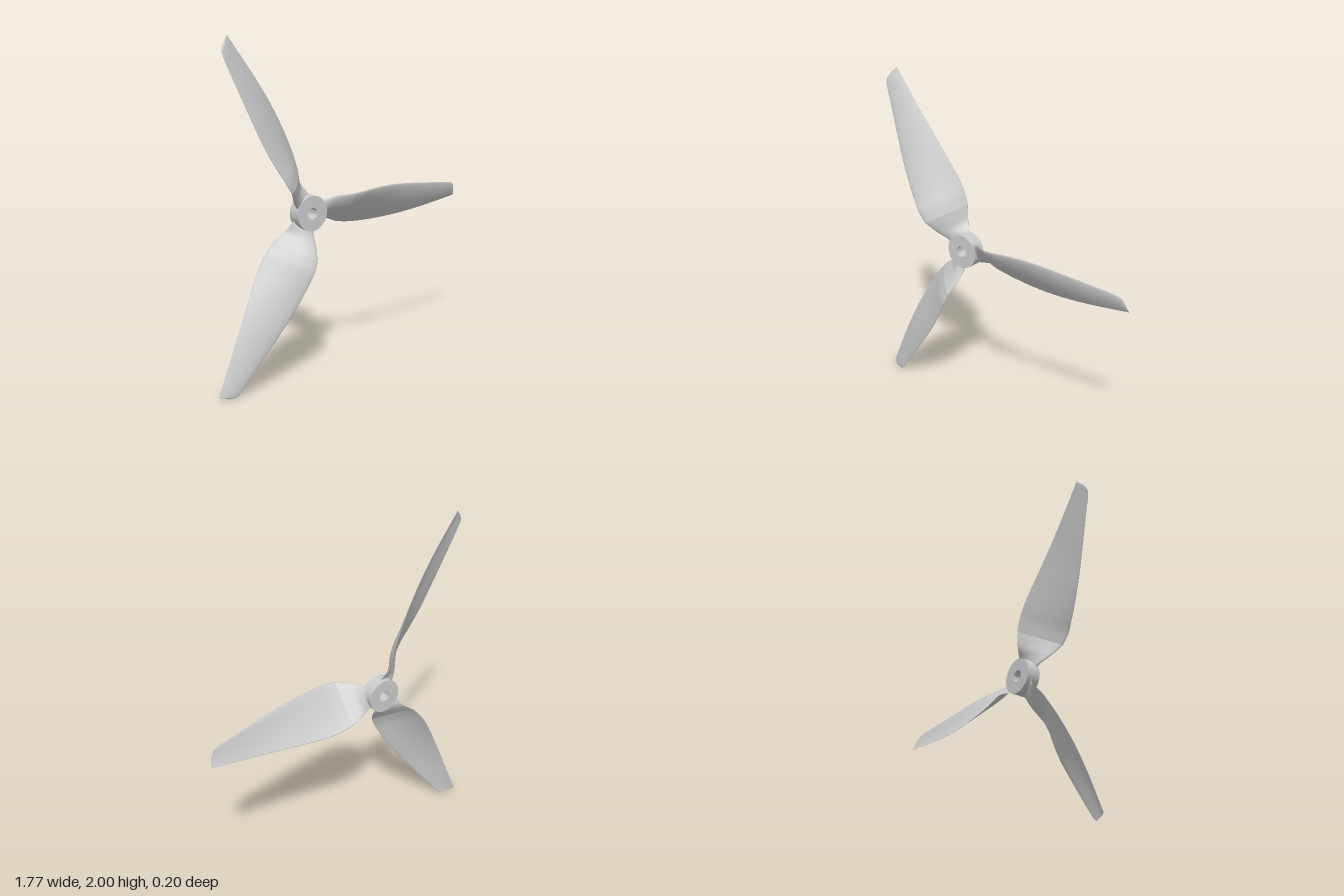
import * as THREE from 'three';
import { toCreasedNormals } from 'three/addons/utils/BufferGeometryUtils.js';

const material = new THREE.MeshStandardMaterial({ color: 0xcccccc, side: THREE.DoubleSide });

// Stations along a blade: leading edge x, y, z, trailing edge x, y, z, thickness.
// x runs outward from the hub axis.
const rootStations = [
  [0.07, 0.06, -0.015, 0.07, -0.06, -0.055, 0.026],
  [0.10, 0.068, -0.005, 0.10, -0.064, -0.06, 0.026],
  [0.15, 0.083, 0.03, 0.15, -0.066, -0.085, 0.026],
  [0.20, 0.09, 0.065, 0.20, -0.086, -0.094, 0.025],
  [0.24, 0.095, 0.09, 0.24, -0.104, -0.098, 0.024],
];
const bladeStations = [
  [0.24, 0.095, 0.09, 0.24, -0.104, -0.098, 0.024],
  [0.31, 0.101, 0.098, 0.31, -0.119, -0.098, 0.024],
  [0.38, 0.104, 0.09, 0.38, -0.126, -0.094, 0.024],
  [0.46, 0.105, 0.08, 0.46, -0.128, -0.084, 0.023],
  [0.56, 0.101, 0.067, 0.56, -0.125, -0.07, 0.021],
  [0.70, 0.086, 0.049, 0.70, -0.116, -0.055, 0.018],
  [0.86, 0.064, 0.026, 0.86, -0.1, -0.045, 0.014],
  [1.00, 0.044, 0.006, 1.02, -0.081, -0.042, 0.01],
  [1.08, 0.031, -0.004, 1.10, -0.071, -0.042, 0.008],
  [1.11, 0.018, -0.012, 1.13, -0.067, -0.042, 0.006],
  [1.131, -0.018, -0.025, 1.145, -0.065, -0.042, 0],
];

// Loft a cambered aerofoil through the stations
function loft(stations, rows) {
  const lead = new THREE.CatmullRomCurve3(stations.map(s => new THREE.Vector3(s[0], s[1], s[2])));
  const trail = new THREE.CatmullRomCurve3(stations.map(s => new THREE.Vector3(s[3], s[4], s[5])));
  const around = 32, positions = [], index = [];
  for (let i = 0; i <= rows; i++) {
    const t = i / rows;
    const a = lead.getPoint(t), b = trail.getPoint(t);
    const f = t * (stations.length - 1), k = Math.min(Math.floor(f), stations.length - 2);
    const thick = THREE.MathUtils.lerp(stations[k][6], stations[k + 1][6], f - k);
    const chord = b.clone().sub(a);
    const normal = new THREE.Vector3(0, chord.z, -chord.y).normalize(); // towards the front
    const camber = chord.length() * 0.05;
    for (let j = 0; j < around; j++) {
      const angle = (j / around) * Math.PI * 2;
      const s = (1 - Math.cos(angle)) / 2;
      // round nose, thin tail
      const half = thick * Math.sin(angle) * (1.15 - 0.9 * s) * 0.6;
      const bow = camber * 4 * s * (1 - s);
      const p = a.clone().addScaledVector(chord, s).addScaledVector(normal, half + bow - camber * 0.4);
      positions.push(p.x, p.y, p.z);
    }
  }
  for (let i = 0; i < rows; i++) {
    for (let j = 0; j < around; j++) {
      const n = (j + 1) % around;
      const p = i * around + j, q = i * around + n;
      index.push(p, q, p + around, q, q + around, p + around);
    }
  }
  const g = new THREE.BufferGeometry();
  g.setAttribute('position', new THREE.Float32BufferAttribute(positions, 3));
  g.setIndex(index);
  // the first triangle of the front side must face the front
  const v = k => new THREE.Vector3().fromArray(positions, k * 3);
  const m = around / 4, o = v(m);
  const face = v(m + 1).sub(o).cross(v(m + around).sub(o));
  if (face.z < 0) g.setIndex(index.slice().reverse());
  g.computeVertexNormals();
  return g;
}

function createHub() {
  const disc = new THREE.Shape().absarc(0, 0, 0.102, 0, Math.PI * 2);
  disc.holes.push(new THREE.Path().absarc(0, 0, 0.033, 0, Math.PI * 2, true));
  const g = new THREE.ExtrudeGeometry(disc, { depth: 0.08, bevelEnabled: false, curveSegments: 48 });
  g.translate(0, 0, -0.08);
  const hub = new THREE.Mesh(toCreasedNormals(g, 0.6), material);
  hub.name = 'hub';
  return hub;
}

export function createModel() {
  const model = new THREE.Group();
  model.name = 'propeller';
  const rotor = new THREE.Group();
  rotor.name = 'rotor';
  rotor.position.set(-0.26, 0.98, 0);
  rotor.add(createHub());

  // Three blades, each with a twisted root meeting the blade at a crease
  const rootGeometry = loft(rootStations, 16);
  const bladeGeometry = loft(bladeStations, 60);
  for (let i = 0; i < 3; i++) {
    const blade = new THREE.Group();
    blade.name = 'blade' + (i + 1);
    const root = new THREE.Mesh(rootGeometry, material);
    root.name = 'bladeRoot';
    const foil = new THREE.Mesh(bladeGeometry, material);
    foil.name = 'bladeFoil';
    blade.add(root, foil);
    blade.rotation.z = (i * Math.PI * 2) / 3;
    rotor.add(blade);
  }
  model.add(rotor);
  return model;
}
